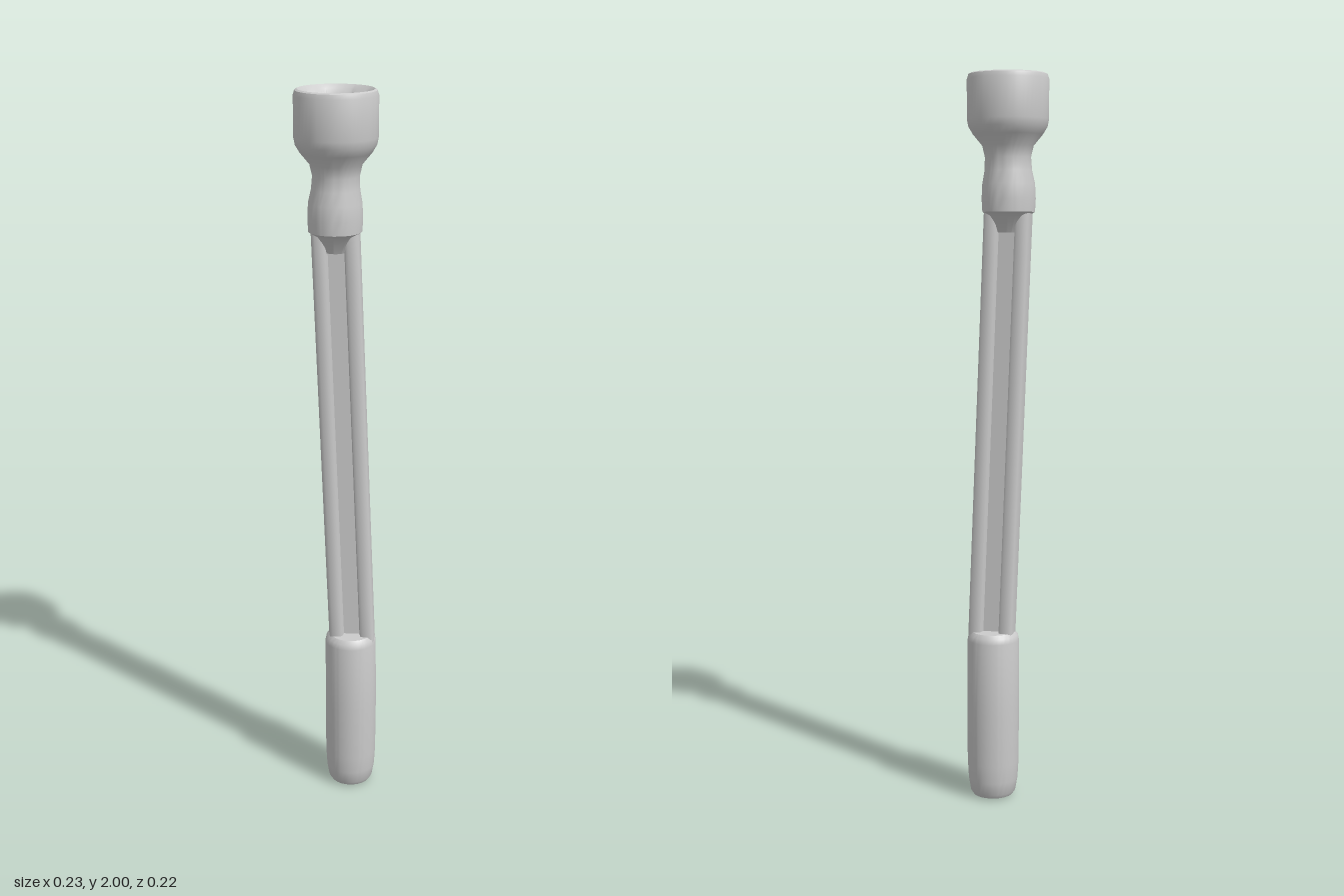
import * as THREE from 'three';
import { toCreasedNormals } from 'three/addons/utils/BufferGeometryUtils.js';

const material = new THREE.MeshStandardMaterial({ color: 0xcccccc });
const SEG = 48;

// 48 points around a polygon, the same number on every side
function outline(corners) {
  const per = SEG / corners.length;
  const pts = [];
  corners.forEach((c, i) => {
    const d = corners[(i + 1) % corners.length];
    for (let k = 0; k < per; k++) pts.push(c.clone().lerp(d, k / per));
  });
  return pts;
}

function polygon(n) {
  return outline(Array.from({ length: n }, (_, i) => {
    const a = (i / n) * Math.PI * 2 - Math.PI / 6;
    return new THREE.Vector2(Math.cos(a), Math.sin(a));
  }));
}

// Four-armed socket opening
function cross() {
  const corners = [];
  for (let i = 0; i < 4; i++) {
    for (const [x, y] of [[0.07, -0.028], [0.07, 0.028], [0.041, 0.041]]) {
      corners.push(new THREE.Vector2(x, y).rotateAround(new THREE.Vector2(), i * Math.PI / 2));
    }
  }
  return outline(corners);
}

const circle = cross().map((p) => p.normalize());

// Joins rings { y, x, s, shape } from first to last and closes both ends
function loft(name, rings, crease) {
  const pos = [];
  const index = [];
  for (const { y, x, s, shape = circle } of rings) {
    for (const p of shape) pos.push(x + p.x * s, y, p.y * s);
  }
  for (let r = 0; r < rings.length - 1; r++) {
    for (let i = 0; i < SEG; i++) {
      const j = (i + 1) % SEG;
      const a = r * SEG + i, b = r * SEG + j, c = a + SEG, d = b + SEG;
      index.push(a, c, b, b, c, d);
    }
  }
  const caps = [rings[0], rings[rings.length - 1]];
  caps.forEach((ring, k) => {
    const centre = pos.length / 3;
    const base = k ? (rings.length - 1) * SEG : 0;
    pos.push(ring.x, ring.y, 0);
    for (let i = 0; i < SEG; i++) {
      const a = base + i, b = base + (i + 1) % SEG;
      if (k) index.push(centre, b, a);
      else index.push(centre, a, b);
    }
  });
  const geo = new THREE.BufferGeometry();
  geo.setAttribute('position', new THREE.Float32BufferAttribute(pos, 3));
  geo.setIndex(index);
  const mesh = new THREE.Mesh(toCreasedNormals(geo, crease), material);
  mesh.name = name;
  return mesh;
}

// Grooved bar, leaning from the handle to the collar
function createShank() {
  const quarter = [[0.022, 0.012], [0.026, 0.03], [0.033, 0.034], [0.053, 0.034], [0.061, 0.028], [0.064, 0.015]];
  const pts = [
    ...quarter.map(([x, z]) => [x, z]),
    ...quarter.map(([x, z]) => [x, -z]).reverse(),
    ...quarter.map(([x, z]) => [-x, -z]),
    ...quarter.map(([x, z]) => [-x, z]).reverse(),
  ].map(([x, z]) => new THREE.Vector2(x, z));
  const y0 = 0.42, y1 = 1.68;
  const geo = new THREE.ExtrudeGeometry(new THREE.Shape(pts), { depth: y1 - y0, steps: 8, bevelEnabled: false });
  geo.rotateX(-Math.PI / 2);
  geo.translate(0, y0, 0);
  const p = geo.attributes.position;
  for (let i = 0; i < p.count; i++) {
    p.setX(i, p.getX(i) + 0.041 - 0.047 * (p.getY(i) - 0.47) / 1.16);
  }
  const mesh = new THREE.Mesh(toCreasedNormals(geo, 0.75), material);
  mesh.name = 'shank';
  return mesh;
}

export function createModel() {
  const group = new THREE.Group();
  group.name = 'socketTool';

  const opening = cross();
  const hex = polygon(6);

  // Collar, neck, head and the socket inside it
  group.add(loft('socketHead', [
    { y: 1.58, x: -0.006, s: 0.03 },
    { y: 1.625, x: -0.007, s: 0.055 },
    { y: 1.635, x: -0.007, s: 0.071 },
    { y: 1.67, x: -0.007, s: 0.073 },
    { y: 1.71, x: -0.007, s: 0.071 },
    { y: 1.745, x: -0.006, s: 0.064 },
    { y: 1.78, x: -0.005, s: 0.062 },
    { y: 1.81, x: -0.005, s: 0.069 },
    { y: 1.84, x: -0.005, s: 0.094 },
    { y: 1.86, x: -0.005, s: 0.106 },
    { y: 1.88, x: -0.005, s: 0.11 },
    { y: 1.985, x: -0.005, s: 0.11 },
    { y: 1.997, x: -0.005, s: 0.106 },
    { y: 2.0, x: -0.005, s: 0.1 },
    { y: 1.99, x: -0.005, s: 0.088 },
    { y: 1.965, x: -0.004, s: 1, shape: opening },
    { y: 1.87, x: -0.004, s: 0.96, shape: opening },
    { y: 1.86, x: -0.004, s: 0.041, shape: hex },
    { y: 1.82, x: -0.004, s: 0.038, shape: hex },
  ], 0.7));

  group.add(createShank());

  // Round handle with a small six-sided hole in its foot
  group.add(loft('handle', [
    { y: 0.1, x: 0.037, s: 0.026, shape: hex },
    { y: 0.012, x: 0.037, s: 0.032, shape: hex },
    { y: 0.0, x: 0.038, s: 0.04 },
    { y: 0.004, x: 0.038, s: 0.056 },
    { y: 0.015, x: 0.038, s: 0.063 },
    { y: 0.05, x: 0.038, s: 0.069 },
    { y: 0.1, x: 0.038, s: 0.072 },
    { y: 0.25, x: 0.038, s: 0.073 },
    { y: 0.45, x: 0.037, s: 0.072 },
    { y: 0.465, x: 0.037, s: 0.069 },
    { y: 0.475, x: 0.038, s: 0.06 },
    { y: 0.475, x: 0.038, s: 0.02 },
  ], 0.7));

  return group;
}
